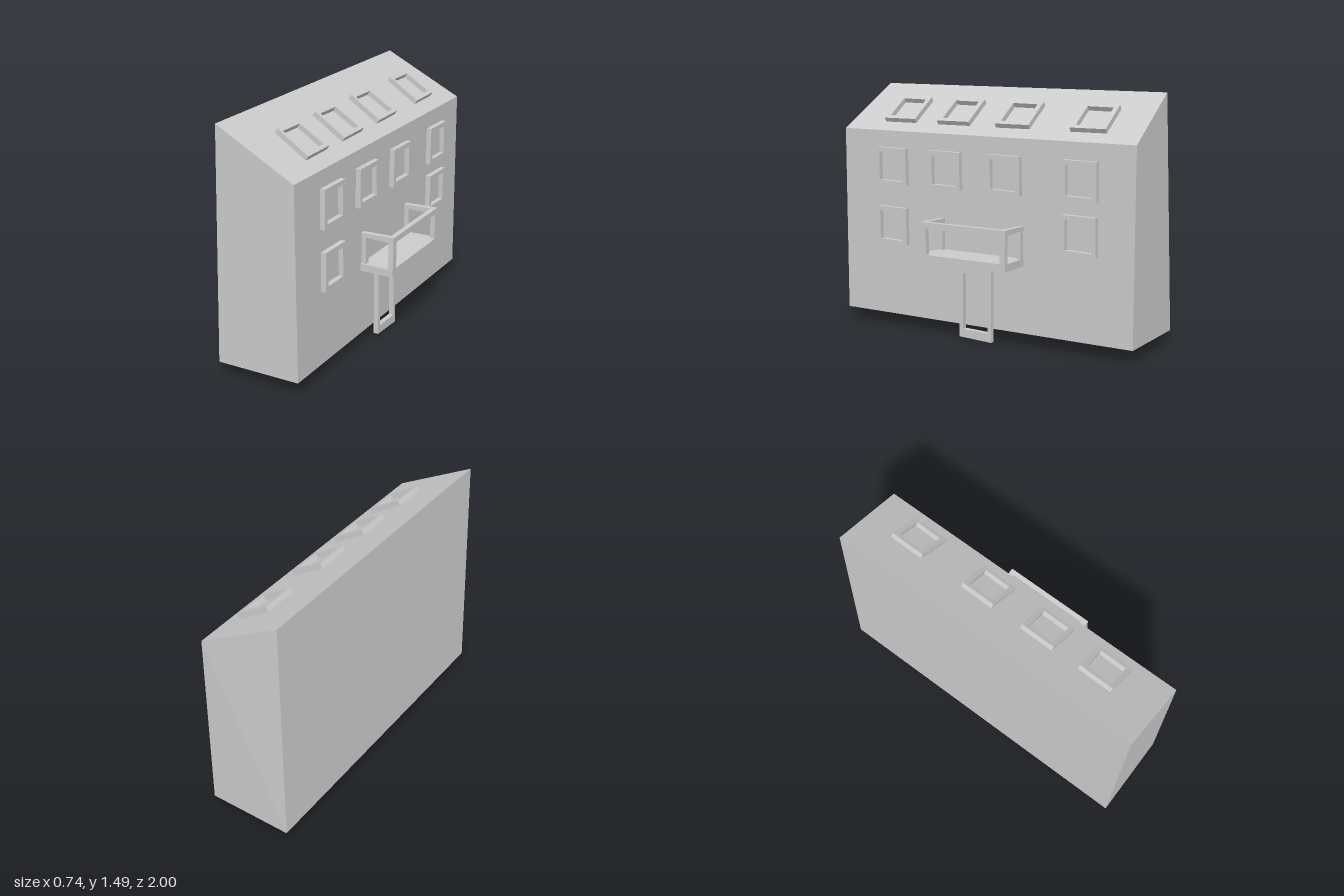
import * as THREE from 'three';

const WALL = 0.155; // x of the facade plane
const material = new THREE.MeshStandardMaterial({ color: 0xcccccc, flatShading: true, side: THREE.DoubleSide });

const outline = (Type, points) => new Type(points.map(([u, v]) => new THREE.Vector2(u, v)));

// Picture-frame geometry standing in the z-y plane and growing towards +x; u runs along -z
function frameGeometry(outer, inner, depth = 0.031) {
  const shape = outline(THREE.Shape, outer);
  shape.holes.push(outline(THREE.Path, inner));
  const geometry = new THREE.ExtrudeGeometry(shape, { depth, bevelEnabled: false });
  return geometry.rotateY(Math.PI / 2);
}

export function createModel() {
  const model = new THREE.Group();
  const add = (name, geometry, x = 0, y = 0, z = 0, parent = model) => {
    const mesh = new THREE.Mesh(geometry, material);
    mesh.name = name;
    mesh.position.set(x, y, z);
    parent.add(mesh);
    return mesh;
  };

  // House body: sloping roof, slightly leaning back wall, one clipped ridge end
  const profile = outline(THREE.Shape, [[-0.37, 0.08], [WALL, 0.08], [WALL, 1.23], [-0.325, 1.49]]);
  const body = new THREE.ExtrudeGeometry(profile, { depth: 2, bevelEnabled: false }).translate(0, 0, -1);
  const p = body.attributes.position;
  for (let i = 0; i < p.count; i++) {
    if (p.getY(i) > 1.4 && p.getZ(i) < 0) p.setZ(i, -0.965);
  }
  body.computeVertexNormals();
  add('houseBody', body);

  // Window frames, slightly crooked
  const windowFrame = frameGeometry(
    [[-0.115, -0.117], [0.112, -0.115], [0.108, 0.113], [-0.108, 0.116]],
    [[-0.086, -0.088], [0.082, -0.092], [0.078, 0.085], [-0.088, 0.088]]
  );
  const columns = [0.63, 0.24, -0.17, -0.665];
  for (const z of columns) add('upperWindow', windowFrame, WALL, 1.013, z);
  add('lowerWindow', windowFrame, WALL, 0.646, 0.63);
  add('lowerWindow', windowFrame, WALL, 0.7, -0.665);

  // Roof windows, tilted a little steeper than the roof
  for (const z of columns) {
    const skylight = add('roofWindow', windowFrame, -0.028, 1.338, z);
    skylight.rotation.z = THREE.MathUtils.degToRad(57.3);
  }

  // Door frame, reaching below the body
  add('doorFrame', frameGeometry(
    [[-0.132, 0.01], [0.09, 0], [0.09, 0.452], [-0.13, 0.462]],
    [[-0.106, 0.06], [0.066, 0.055], [0.063, 0.398], [-0.106, 0.402]]
  ), WALL, 0, 0.0);

  // Balcony: floor slab, front frame and two side frames
  const balcony = new THREE.Group();
  balcony.name = 'balcony';
  model.add(balcony);
  add('balconyFloor', new THREE.BoxGeometry(0.21, 0.044, 0.59), 0.26, 0.507, 0, balcony);
  add('balconyFrontRail', frameGeometry(
    [[-0.295, 0.485], [0.295, 0.485], [0.29, 0.725], [-0.285, 0.725]],
    [[-0.25, 0.53], [0.26, 0.53], [0.26, 0.69], [-0.25, 0.69]]
  ), 0.334, 0, 0, balcony);
  const side = outline(THREE.Shape, [[WALL, 0.485], [0.365, 0.485], [0.362, 0.725], [WALL, 0.72]]);
  side.holes.push(outline(THREE.Path, [[0.185, 0.53], [0.335, 0.53], [0.335, 0.69], [0.185, 0.695]]));
  const sideRail = new THREE.ExtrudeGeometry(side, { depth: 0.032, bevelEnabled: false });
  for (const z of [0.254, -0.292]) add('balconySideRail', sideRail, 0, 0, z, balcony);

  return model;
}
